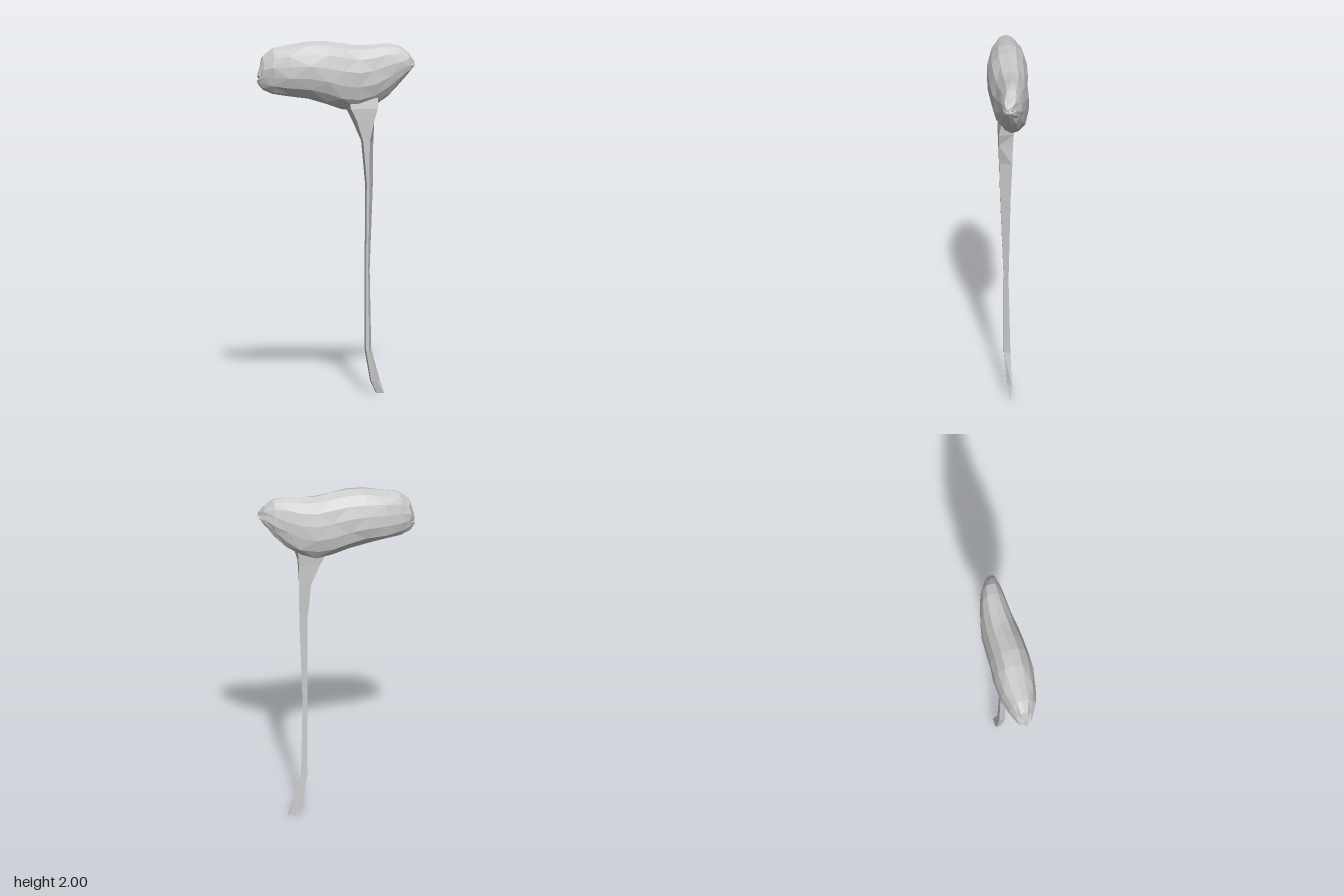
import * as THREE from 'three';

const material = new THREE.MeshStandardMaterial({ color: 0xcccccc, flatShading: true });

// Skin a list of equal-length point rings and close both ends.
function loft(rings, name) {
  const n = rings[0].length;
  const pts = [];
  const tri = (a, b, c) => pts.push(...a, ...b, ...c);
  const centre = (ring) => [0, 1, 2].map((k) => ring.reduce((s, p) => s + p[k], 0) / n);
  for (let i = 0; i < rings.length - 1; i++) {
    for (let j = 0; j < n; j++) {
      const k = (j + 1) % n;
      const a = rings[i][j], b = rings[i][k], c = rings[i + 1][k], d = rings[i + 1][j];
      if ((i + j) % 2) { tri(a, b, c); tri(a, c, d); }
      else { tri(a, b, d); tri(b, c, d); }
    }
  }
  const first = rings[0], last = rings[rings.length - 1];
  const c0 = centre(first), c1 = centre(last);
  for (let j = 0; j < n; j++) {
    const k = (j + 1) % n;
    tri(c0, first[k], first[j]);
    tri(c1, last[j], last[k]);
  }
  const geometry = new THREE.BufferGeometry();
  geometry.setAttribute('position', new THREE.Float32BufferAttribute(pts, 3));
  geometry.computeVertexNormals();
  const mesh = new THREE.Mesh(geometry, material);
  mesh.name = name;
  return mesh;
}

// Lumpy bean-shaped cap, lofted along x: [x, bottom, top, back, front]
function createCap() {
  const sections = [
    [-0.44, 1.76, 1.83, -0.03, 0.015],
    [-0.415, 1.73, 1.92, -0.06, 0.035],
    [-0.36, 1.705, 1.965, -0.085, 0.07],
    [-0.27, 1.69, 1.982, -0.112, 0.098],
    [-0.16, 1.675, 2.0, -0.12, 0.113],
    [-0.06, 1.645, 2.0, -0.115, 0.116],
    [0.03, 1.612, 1.988, -0.112, 0.11],
    [0.12, 1.602, 1.972, -0.11, 0.1],
    [0.21, 1.625, 1.975, -0.098, 0.087],
    [0.29, 1.68, 1.982, -0.077, 0.075],
    [0.355, 1.75, 1.968, -0.055, 0.064],
    [0.405, 1.81, 1.93, -0.022, 0.055],
    [0.435, 1.85, 1.885, 0.015, 0.04],
  ];
  const sides = 14;
  const rings = sections.map(([x, y0, y1, z0, z1], i) =>
    Array.from({ length: sides }, (_, j) => {
      const a = (j / sides) * Math.PI * 2;
      const c = Math.cos(a), s = Math.sin(a);
      // Small ripple for uneven facets, fuller toward the lower back
      const ripple = 1 + 0.018 * Math.sin(i * 2.3 + j * 3.7) - 0.012;
      const full = c < 0 && s < 0 ? 1 + 0.14 * c * s : 1;
      const r = j % (sides / 2) === 0 ? 1 : ripple * full;
      const z = (z0 + z1) / 2 + (s * r * (z1 - z0)) / 2;
      const y = (y0 + y1) / 2 + (c * r * (y1 - y0)) / 2;
      return [x + 0.008 * Math.sin(i * 1.9 + j * 2.6) * Math.abs(s), y, z];
    }));
  return loft(rings, 'cap');
}

// Thin four-sided stem, lofted upward: [y, left, frontRight, backRight, back, front]
function createStem() {
  const sections = [
    [0, 0.225, 0.27, 0.27, -0.006, 0.006],
    [0.07, 0.192, 0.225, 0.248, -0.005, 0.02],
    [0.25, 0.16, 0.182, 0.198, 0.0, 0.036],
    [0.7, 0.16, 0.176, 0.188, 0.01, 0.036],
    [1.2, 0.162, 0.182, 0.208, 0.0, 0.056],
    [1.43, 0.142, 0.182, 0.211, -0.01, 0.062],
    [1.55, 0.09, 0.207, 0.212, -0.013, 0.065],
    [1.62, 0.056, 0.227, 0.217, -0.018, 0.066],
    [1.68, 0.05, 0.23, 0.22, -0.02, 0.055],
  ];
  const rings = sections.map(([y, x0, xf, xb, z0, z1]) => {
    const lean = y > 1.5 ? 0.02 : 0.004;
    return [[x0 + lean, y, z1], [xf, y, z1], [xb, y, z0], [x0, y, z0]];
  });
  return loft(rings, 'stem');
}

export function createModel() {
  const model = new THREE.Group();
  model.name = 'beanCapMushroom';
  model.add(createCap(), createStem());
  return model;
}
